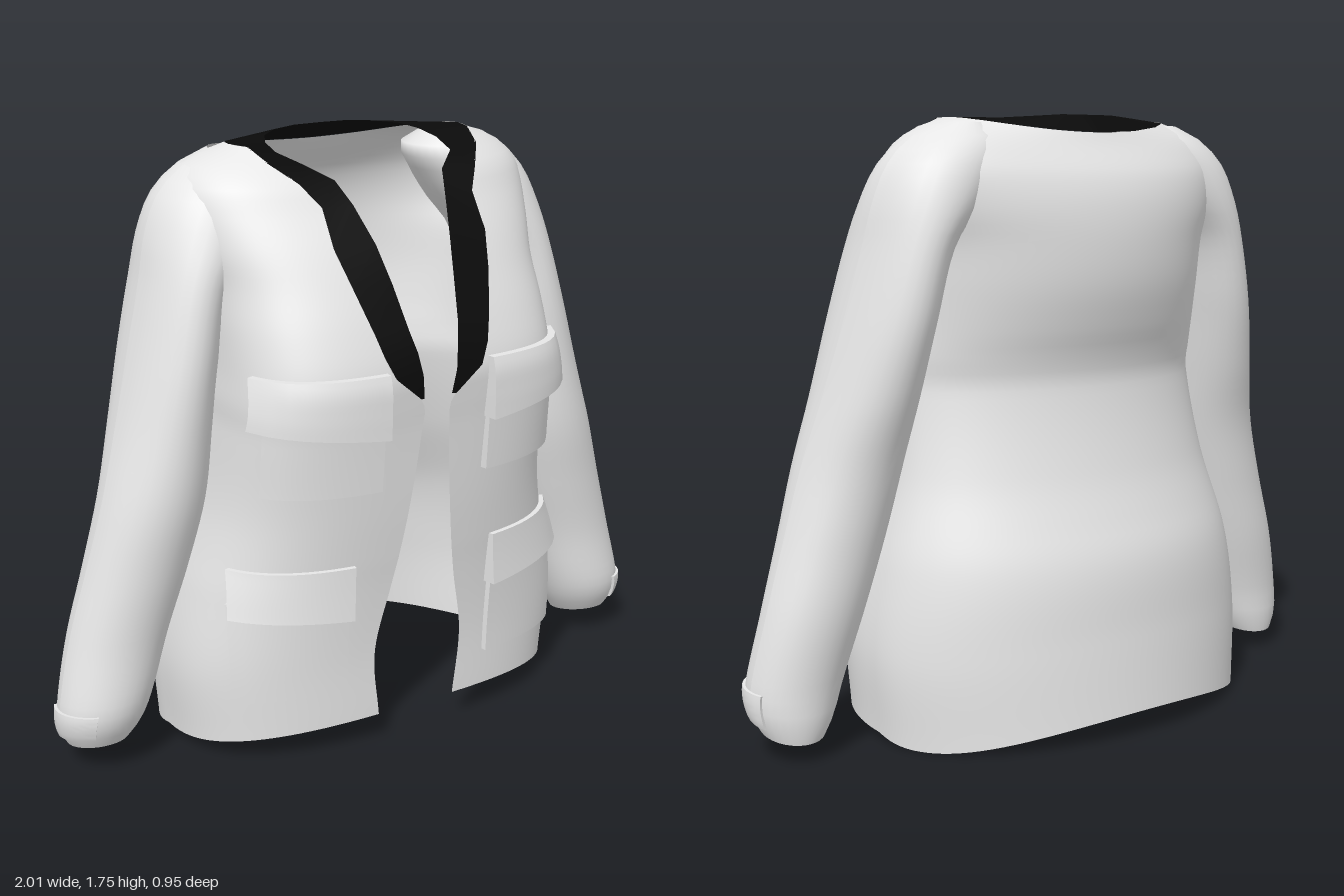
import * as THREE from 'three';
import { toCreasedNormals } from 'three/addons/utils/BufferGeometryUtils.js';

const fabric = new THREE.MeshStandardMaterial({ color: 0xe6e6e6, side: THREE.DoubleSide });
fabric.name = 'light grey fabric';
const trim = new THREE.MeshStandardMaterial({ color: 0x0a0a0a, side: THREE.DoubleSide });
trim.name = 'black trim';

// Body sections: height, half opening, half width, front z, side z, back z, front roundness
const BODY = [
  [0, 0.13, 0.63, 0.345, -0.05, -0.485, 0.7],
  [0.25, 0.148, 0.645, 0.35, -0.05, -0.465, 0.7],
  [0.5, 0.108, 0.61, 0.37, -0.05, -0.44, 0.7],
  [0.75, 0.07, 0.545, 0.4, -0.03, -0.355, 0.65],
  [1.0, 0.045, 0.515, 0.425, 0, -0.3, 0.55],
  [1.08, 0.05, 0.515, 0.435, -0.01, -0.31, 0.52],
  [1.16, 0.14, 0.51, 0.44, -0.02, -0.335, 0.52],
  [1.28, 0.185, 0.51, 0.405, -0.03, -0.362, 0.57],
  [1.4, 0.22, 0.515, 0.355, -0.05, -0.368, 0.65],
  [1.5, 0.245, 0.545, 0.305, -0.07, -0.358, 0.74],
  [1.6, 0.243, 0.56, 0.24, -0.08, -0.33, 0.8],
  [1.66, 0.285, 0.54, 0.2, -0.08, -0.3, 0.8],
  [1.71, 0.34, 0.48, 0.145, -0.08, -0.27, 0.8],
  [1.745, 0.36, 0.38, 0.12, -0.05, -0.25, 0.8],
];
const TOP = 1.745;

// Sleeve sections: height, inner x, outer x, front z, back z
const SLEEVE = [
  [0.08, 0.79, 0.965, 0.1, -0.09],
  [0.13, 0.755, 0.99, 0.13, -0.1],
  [0.2, 0.725, 0.995, 0.145, -0.1],
  [0.4, 0.655, 0.95, 0.14, -0.12],
  [0.6, 0.585, 0.89, 0.155, -0.13],
  [0.8, 0.53, 0.83, 0.175, -0.15],
  [1.0, 0.5, 0.77, 0.175, -0.2],
  [1.2, 0.47, 0.715, 0.17, -0.24],
  [1.4, 0.42, 0.663, 0.15, -0.255],
  [1.52, 0.32, 0.635, 0.13, -0.26],
  [1.62, 0.25, 0.59, 0.1, -0.245],
  [1.69, 0.22, 0.515, 0.06, -0.21],
  [1.73, 0.3, 0.42, 0.0, -0.16],
];

// Smooth interpolation of a section table by height
function section(rows, y) {
  let i = 0;
  while (i < rows.length - 2 && y > rows[i + 1][0]) i++;
  const a = rows[i], b = rows[i + 1], h = b[0] - a[0];
  const p = rows[Math.max(i - 1, 0)], q = rows[Math.min(i + 2, rows.length - 1)];
  const t = THREE.MathUtils.clamp((y - a[0]) / h, 0, 1), t2 = t * t, t3 = t2 * t;
  return a.map((v, k) => {
    const m0 = (b[k] - p[k]) / (b[0] - p[0]) * h, m1 = (q[k] - v) / (q[0] - a[0]) * h;
    return (2 * t3 - 3 * t2 + 1) * v + (t3 - 2 * t2 + t) * m0 + (3 * t2 - 2 * t3) * b[k] + (t3 - t2) * m1;
  });
}

// Angle at which the front of a body section reaches a given x
function angleAt(x, y) {
  const r = section(BODY, y);
  return Math.asin(Math.min(1, Math.pow(x / r[2], 1 / r[6])));
}
const edgeAngle = (y) => angleAt(section(BODY, y)[1], y);

// Point on the body; angle 0 is front centre, PI is back centre
function bodyPoint(a, y, off = 0) {
  const [, , w, zf, zs, zb, round] = section(BODY, y);
  const s = Math.max(0, Math.sin(a)), c = Math.cos(a), front = c > 0;
  const e = front ? round : 1 - (1 - round) * Math.max(0, 1 + c * 3);
  const x = w * Math.pow(s, e);
  const z = front ? zs + (zf - zs) * Math.pow(c, round) : zs + (zs - zb) * c;
  const hem = (front ? 0.03 + 0.07 * c : 0.03 + 0.13 * c + 0.18 * c * c) * Math.max(0, 1 - y / 0.6);
  const nape = front ? 0 : 0.04 * c * c * THREE.MathUtils.smoothstep(y, 1.5, TOP);
  return [x + off * s, y + hem - nape, z + off * c];
}

function sleevePoint(f, y, off = 0) {
  const [, xi, xo, zf, zb] = section(SLEEVE, y);
  const c = Math.cos(f), s = Math.sin(f);
  const z = (zf + zb) / 2 + ((zf - zb) / 2 + off) * s;
  const tilt = 0.2 * z * Math.max(0, 1 - (y - 0.08) / 0.2);
  return [(xi + xo) / 2 + ((xo - xi) / 2 + off) * c, y + tilt, z];
}

// Grid surface from a point function of u, v in 0..1
function surface(nu, nv, fn, side = 1) {
  const pos = [], idx = [];
  for (let j = 0; j <= nv; j++) for (let i = 0; i <= nu; i++) {
    const [x, y, z] = fn(i / nu, j / nv, i, j);
    pos.push(x * side, y, z);
  }
  for (let j = 0; j < nv; j++) for (let i = 0; i < nu; i++) {
    const a = j * (nu + 1) + i, b = a + 1, c = a + nu + 1, d = c + 1;
    if (side > 0) idx.push(a, b, d, a, d, c);
    else idx.push(a, d, b, a, c, d);
  }
  const g = new THREE.BufferGeometry();
  g.setAttribute('position', new THREE.Float32BufferAttribute(pos, 3));
  g.setIndex(idx);
  g.computeVertexNormals();
  return g;
}

// Raised panel whose rim sinks into the surface below
function panel(fn, thickness, side) {
  const N = 12;
  const step = (i) => THREE.MathUtils.clamp((i - 1) / (N - 2), 0, 1);
  return toCreasedNormals(surface(N, N, (u, v, i, j) => {
    const rim = i === 0 || j === 0 || i === N || j === N;
    return fn(step(i), step(j), rim ? -0.008 : thickness(step(j)));
  }, side), 0.6);
}

// Pocket part on the front: x range, bottom and top height, rise toward the side
function pocketPanel(x0, x1, y0, y1, rise, thickness, side) {
  return panel((u, v, off) => {
    const y = y0 + (y1 - y0) * v + rise * u * (1 - v);
    return bodyPoint(angleAt(x0 + (x1 - x0) * u, y), y, off);
  }, thickness, side);
}

// Neck trim: heights along its outer edge, then its inner edge from chest to nape
const NECK_Y = [1.09, 1.16, 1.22, 1.28, 1.4, 1.5, 1.6, 1.66, 1.71, TOP];
const NECK_INNER = [
  [0.045, 1.09, 0.435], [0.055, 1.16, 0.443], [0.065, 1.22, 0.43], [0.08, 1.28, 0.407],
  [0.1, 1.4, 0.352], [0.12, 1.5, 0.3], [0.15, 1.6, 0.23], [0.175, 1.66, 0.175],
  [0.24, 1.7, 0.12], [0.265, 1.72, 0.01], [0.255, 1.735, -0.07], [0.225, 1.745, -0.13],
  [0.165, 1.75, -0.185], [0.09, 1.755, -0.2], [0, 1.755, -0.205],
];

export function createModel() {
  const model = new THREE.Group();
  model.name = 'jacket';
  const add = (name, geometry, material = fabric) => {
    const mesh = new THREE.Mesh(geometry, material);
    mesh.name = name;
    model.add(mesh);
  };

  // Body shell, open down the front
  add('body', surface(120, 72, (u, v) => {
    const s = 1 - 2 * u, y = v * TOP;
    const [x, py, z] = bodyPoint(Math.PI - Math.abs(s) * (Math.PI - edgeAngle(y)), y);
    return [x * Math.sign(s), py, z];
  }));

  for (const side of [1, -1]) {
    const label = side > 0 ? 'left' : 'right';

    // Black neck trim
    const last = NECK_INNER.length - 1, ring = last - NECK_Y.length + 1;
    add(label + 'NeckTrim', surface(last, 1, (u, v, i) => {
      if (v === 0) return NECK_INNER[last - i];
      const k = last - i - NECK_Y.length + 1;
      if (k <= 0) return bodyPoint(edgeAngle(NECK_Y[last - i]), NECK_Y[last - i], 0.003);
      const a = edgeAngle(TOP);
      return bodyPoint(a + (Math.PI - a) * k / ring, TOP, 0.003);
    }, -side), trim);
    // (the trim runs from nape to chest, so its x is mirrored pairwise)

    // Sleeve, dark cuff lining and cuff strap
    add(label + 'Sleeve', surface(32, 44, (u, v) => sleevePoint(-u * Math.PI * 2, 0.08 + v * 1.65), side));
    add(label + 'CuffLining', surface(24, 2, (u, v) => sleevePoint(-u * Math.PI * 2, 0.086 + v * 0.03, -0.012), side), trim);
    add(label + 'CuffStrap', panel((u, v, off) => sleevePoint(1.1 - 1.5 * u, 0.115 + 0.09 * v, off), () => 0.008, side));

    // Chest pocket
    add(label + 'ChestPocket', pocketPanel(0.17, 0.47, 0.84, 1.03, 0, (v) => 0.022 - 0.006 * v, side));
    add(label + 'ChestFlap', pocketPanel(0.165, 0.485, 1.0, 1.18, 0.04, (v) => 0.047 - 0.025 * v, side));

    // Hip pocket
    add(label + 'HipPocket', pocketPanel(0.24, 0.55, 0.14, 0.5, 0.01, () => 0.016, side));
    add(label + 'HipFlap', pocketPanel(0.23, 0.54, 0.42, 0.61, 0.04, (v) => 0.04 - 0.025 * v, side));
  }
  return model;
}
